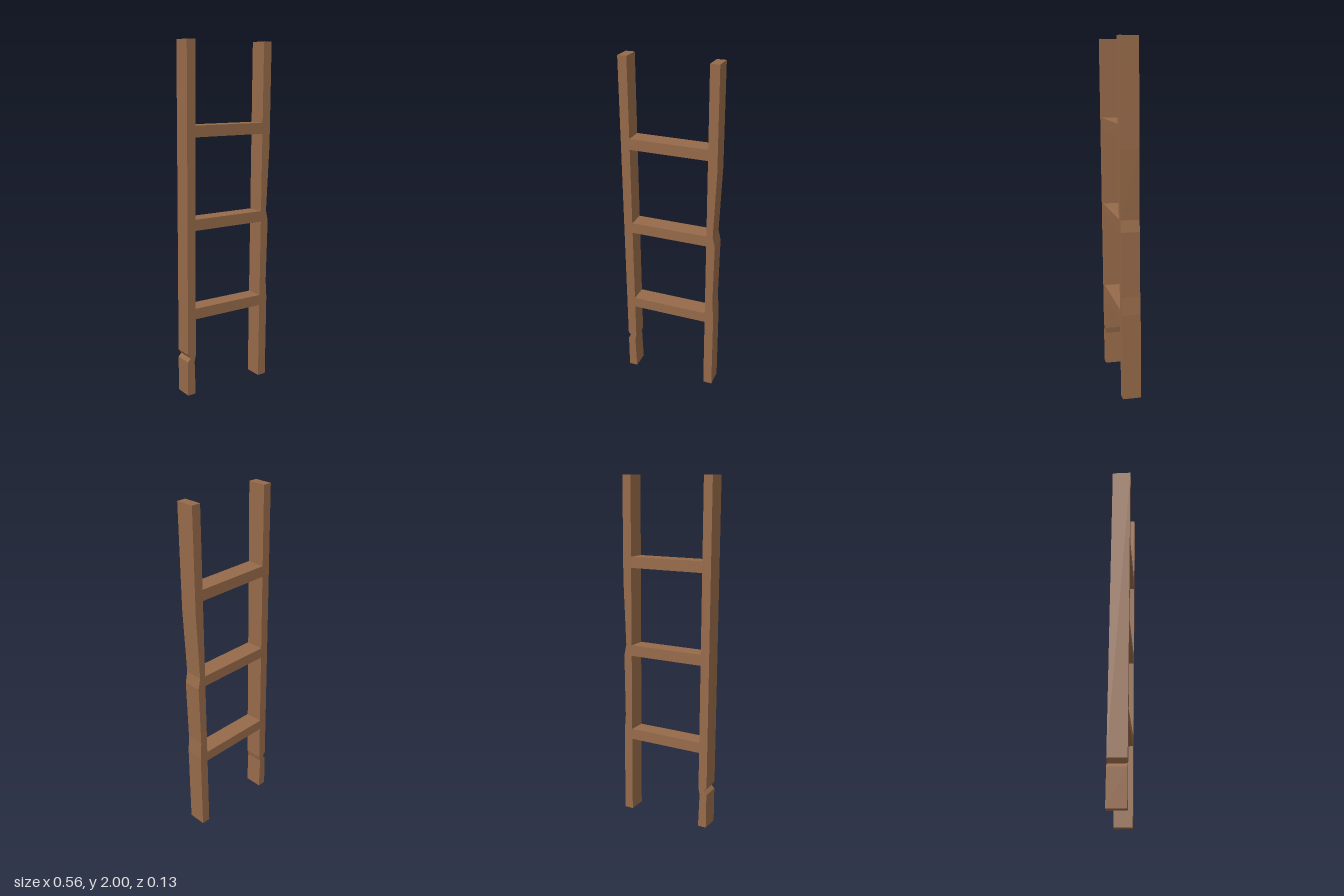
import * as THREE from 'three';

const DEPTH = 0.106;

export function createModel() {
  const ladder = new THREE.Group();
  ladder.name = 'ladder';
  const wood = new THREE.MeshStandardMaterial({ color: 0x966a49, flatShading: true });

  // Extrude a front outline through the ladder's depth, then lean it slightly forward.
  function addPlank(name, outline) {
    const shape = new THREE.Shape(outline.map(([x, y]) => new THREE.Vector2(x, y)));
    const geometry = new THREE.ExtrudeGeometry(shape, { depth: DEPTH, bevelEnabled: false });
    geometry.translate(0, 0, -DEPTH / 2);
    const p = geometry.attributes.position;
    for (let i = 0; i < p.count; i++) p.setZ(i, p.getZ(i) + 0.0125 * (p.getY(i) - 1));
    geometry.computeVertexNormals();
    const mesh = new THREE.Mesh(geometry, wood);
    mesh.name = name;
    ladder.add(mesh);
  }

  // Right rail, chipped near the foot
  addPlank('rightRail', [
    [-0.279, 0], [-0.228, 0], [-0.235, 0.2], [-0.227, 0.235], [-0.227, 2],
    [-0.279, 2], [-0.279, 0.25], [-0.261, 0.225], [-0.279, 0.205],
  ]);

  // Left rail, worn along its outer edge
  addPlank('leftRail', [
    [0.225, 0], [0.278, 0], [0.278, 0.5], [0.27, 0.6], [0.276, 0.97],
    [0.262, 1.035], [0.278, 1.42], [0.278, 2], [0.225, 2],
  ]);

  // Three flat rungs
  [0.487, 1.003, 1.518].forEach((y, i) => {
    const h = 0.0315;
    addPlank(`rung${i + 1}`, [[-0.227, y - h], [0.225, y - h], [0.225, y + h], [-0.227, y + h]]);
  });

  return ladder;
}
